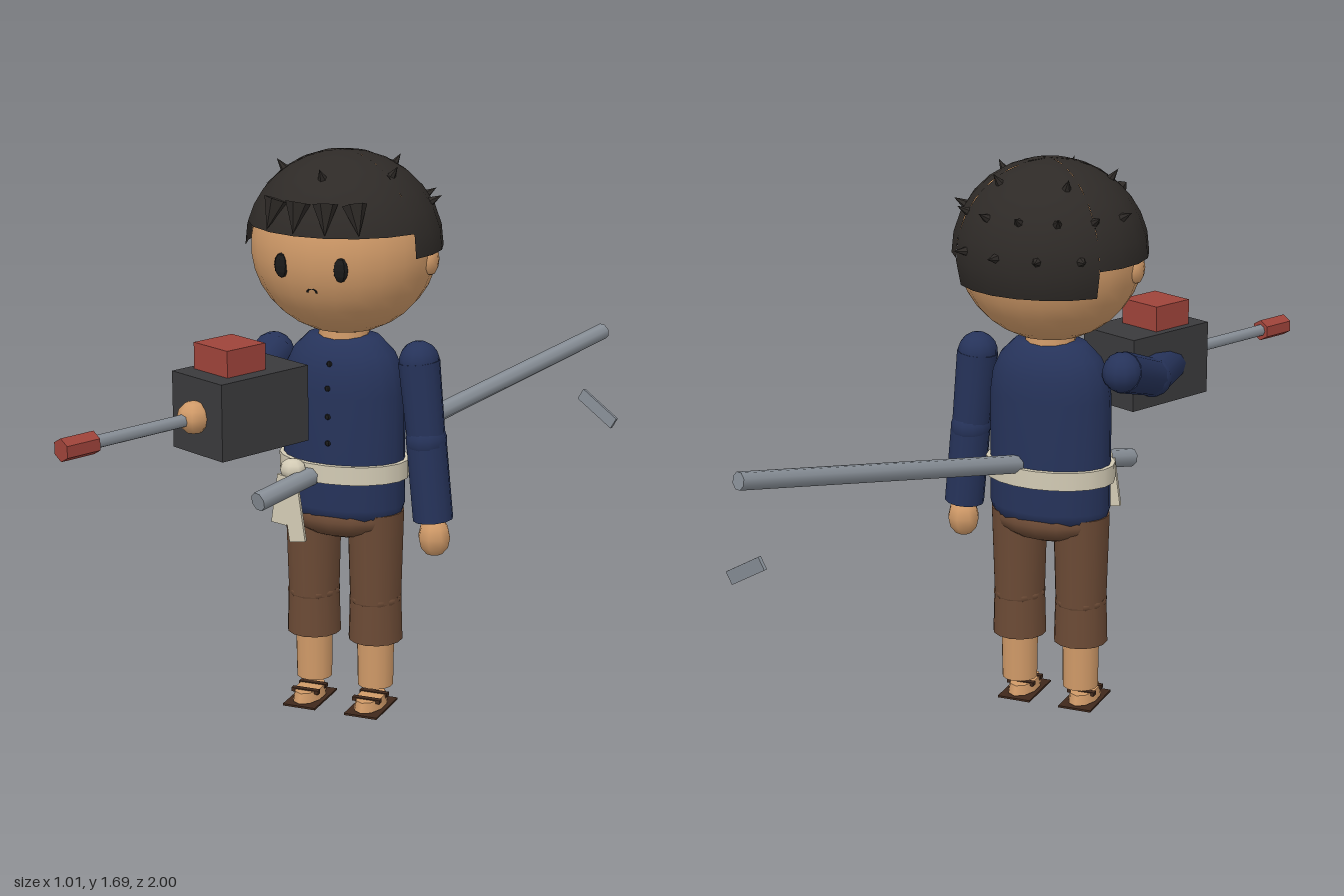
import * as THREE from 'three';

const V = (x, y, z) => new THREE.Vector3(x, y, z);
const mat = (color, flatShading = false) =>
  new THREE.MeshStandardMaterial({ color, flatShading, side: THREE.DoubleSide });

export function createModel() {
  const model = new THREE.Group();
  const skin = mat(0xd09a68), hairMat = mat(0x2e2a27, true), navy = mat(0x26335a);
  const brown = mat(0x6b4a35), cream = mat(0xd2cab4), steel = mat(0x878e96);
  const red = mat(0x9e433a, true), dark = mat(0x3a3a3c, true), sole = mat(0x3f281b), black = mat(0x1a1a1a, true);
  const CX = -0.047, CZ = 0.045;

  const add = (name, geo, material, pos = [0, 0, 0], scale = [1, 1, 1], parent = model) => {
    const m = new THREE.Mesh(geo, material);
    m.name = name;
    m.position.set(...pos);
    m.scale.set(...scale);
    parent.add(m);
    return m;
  };
  const ball = (name, material, pos, size, seg = 12) =>
    add(name, new THREE.SphereGeometry(1, seg, Math.ceil(seg * 0.7)), material, pos, size);
  // round bar between two points
  const bar = (name, a, b, ra, rb, material, sides = 12) => {
    const dir = b.clone().sub(a);
    const m = add(name, new THREE.CylinderGeometry(rb, ra, dir.length(), sides), material,
      a.clone().add(b).multiplyScalar(0.5).toArray());
    m.quaternion.setFromUnitVectors(V(0, 1, 0), dir.normalize());
    return m;
  };

  // Head and face
  const HY = 1.415;
  ball('head', skin, [CX, HY, 0.04], [0.275, 0.262, 0.26], 24);
  for (const s of [-1, 1]) {
    ball('ear', skin, [CX + s * 0.268, 1.385, 0.04], [0.022, 0.044, 0.038], 8);
    ball('eye', black, [CX - 0.003 + s * 0.09, 1.39, 0.281], [0.023, 0.036, 0.015], 8);
  }
  add('mouth', new THREE.TorusGeometry(0.014, 0.003, 5, 8, Math.PI), black, [CX, 1.318, 0.282], [1, 0.8, 1]);
  add('neck', new THREE.CylinderGeometry(0.07, 0.08, 0.1, 12), skin, [CX, 1.15, CZ]);

  // Hair: fringe, sides and nape are strips of one cap, each cut at its own height
  const hairR = [0.29, 0.274, 0.272];
  for (const [name, from, to, bottom] of [['hairFront', 0.42, 2.72, 1.48], ['hairSide', 2.72, 3.84, 1.41],
    ['hairBack', 3.84, 5.58, 1.33], ['hairSide', 5.58, 6.703, 1.41]]) {
    const theta = Math.acos((bottom - HY) / hairR[1]);
    add(name, new THREE.SphereGeometry(1, Math.round((to - from) * 3.2), 7, from, to - from, 0, theta),
      mat(0x2e2a27), [CX, HY, 0.04], hairR);
  }
  // Spikes by bearing (from +x towards +z) and elevation
  const spike = (bearing, elevation) => {
    const d = V(Math.cos(elevation) * Math.cos(bearing), Math.sin(elevation), Math.cos(elevation) * Math.sin(bearing));
    const p = d.clone().multiply(V(...hairR)).multiplyScalar(1.03);
    const m = add('hairSpike', new THREE.ConeGeometry(0.018, 0.05, 6), hairMat, [CX + p.x, HY + p.y, 0.04 + p.z]);
    m.quaternion.setFromUnitVectors(V(0, 1, 0), d);
  };
  for (let i = 0; i < 5; i++) spike(Math.PI / 2 + i * Math.PI * 0.4, 0.92);
  for (let i = 0; i < 7; i++) spike(Math.PI + 0.25 + i * (Math.PI - 0.5) / 6, 0.5);
  for (let i = 0; i < 4; i++) spike(Math.PI * 1.5 + (i - 1.5) * 0.45, 0.1);
  // Fringe tufts
  for (let i = 0; i < 4; i++) {
    const a = (i - 1.5) * 0.33;
    const m = add('fringeTuft', new THREE.ConeGeometry(0.036, 0.09, 6), hairMat,
      [CX + 0.26 * Math.sin(a) * 1.05, 1.53, 0.04 + 0.255 * Math.cos(a)]);
    m.rotation.set(Math.PI - 0.25, 0, -a * 0.5);
  }

  // Jacket
  const profile = [[0, 0.6], [0.175, 0.6], [0.187, 0.64], [0.187, 0.98], [0.178, 1.05], [0.155, 1.1], [0.11, 1.145], [0, 1.16]];
  add('jacket', new THREE.LatheGeometry(profile.map(p => new THREE.Vector2(...p)), 20), navy, [CX, 0, CZ], [1, 1, 0.68]);
  for (const y of [1.08, 1.01, 0.925, 0.845]) ball('button', black, [CX, y, CZ + (y > 1.05 ? 0.112 : 0.127)], [0.009, 0.009, 0.006], 6);

  // Sash with knot and hanging tails
  add('sash', new THREE.CylinderGeometry(0.2, 0.2, 0.055, 20), cream, [CX, 0.753, CZ], [1, 1, 0.71]);
  ball('sashKnot', cream, [-0.15, 0.76, 0.19], [0.042, 0.033, 0.035], 8);
  for (const [x, y, tilt, len] of [[-0.175, 0.67, -0.14, 0.15], [-0.14, 0.64, 0.14, 0.19]]) {
    const t = add('sashTail', new THREE.BoxGeometry(0.05, len, 0.012), cream, [x, y, 0.21]);
    t.rotation.z = tilt;
  }

  // Arms: shoulder, elbow, wrist
  const arm = (side, a, b, c) => {
    ball(side + 'Shoulder', navy, a.toArray(), [0.06, 0.06, 0.062]);
    bar(side + 'UpperArm', a, b, 0.062, 0.057, navy);
    ball(side + 'Elbow', navy, b.toArray(), [0.061, 0.06, 0.064]);
    bar(side + 'Forearm', b, c, 0.06, 0.06, navy);
  };
  arm('left', V(0.188, 1.085, CZ), V(0.212, 0.85, CZ), V(0.235, 0.61, CZ));
  ball('leftHand', skin, [0.24, 0.557, CZ + 0.003], [0.05, 0.06, 0.048], 8);
  arm('right', V(-0.272, 1.07, CZ), V(-0.288, 1.0, 0.26), V(-0.27, 1.0, 0.5));

  // Legs, built once per side
  ball('hips', brown, [CX, 0.6, CZ], [0.175, 0.07, 0.128], 16);
  for (const s of [-1, 1]) {
    const x = CX + s * 0.1;
    const side = s > 0 ? 'left' : 'right';
    add(side + 'Thigh', new THREE.CylinderGeometry(0.085, 0.077, 0.28, 14), brown, [x, 0.48, CZ], [1, 1, 1.06]);
    ball(side + 'Knee', brown, [x, 0.345, CZ], [0.08, 0.035, 0.083], 12);
    add(side + 'TrouserCuff', new THREE.CylinderGeometry(0.078, 0.082, 0.14, 14), brown, [x, 0.284, CZ]);
    add(side + 'Shin', new THREE.CylinderGeometry(0.057, 0.054, 0.18, 14), skin, [x, 0.155, CZ]);
    add(side + 'Foot', new THREE.CylinderGeometry(0.04, 0.045, 0.03, 10), skin, [x, 0.025, 0.083], [1, 1, 1.8]);
    add(side + 'Sole', new THREE.BoxGeometry(0.105, 0.006, 0.175), sole, [x, 0.003, 0.082]);
    for (const z of [0.055, 0.115])
      add(side + 'Strap', new THREE.BoxGeometry(0.088, 0.012, 0.018), sole, [x, 0.037, z]);
  }

  // Long scabbard thrust through the sash, with a loose plate near its tip
  bar('scabbard', V(-0.187, 0.705, 0.36), V(0.437, 0.963, -0.98), 0.029, 0.026, steel, 8);
  const plate = add('loosePlate', new THREE.BoxGeometry(0.155, 0.04, 0.01), steel, [0.43, 0.705, -0.967]);
  plate.quaternion.setFromUnitVectors(V(1, 0, 0), V(0.125, -0.075, 0.045).normalize());

  // Arm-mounted device, turned outward; local +z points along the barrel
  const device = new THREE.Group();
  device.name = 'armDevice';
  device.position.set(-0.21, 1.005, 0.417);
  device.rotation.y = -0.433;
  model.add(device);
  add('deviceBody', new THREE.BoxGeometry(0.215, 0.222, 0.32), dark, [0, 0, 0], [1, 1, 1], device);
  add('deviceBlock', new THREE.BoxGeometry(0.145, 0.08, 0.14), red, [-0.01, 0.148, 0.03], [1, 1, 1], device);
  add('rightHand', new THREE.SphereGeometry(0.048, 8, 6), skin, [0, 0, 0.172], [1, 1, 1], device);
  const barrel = add('barrel', new THREE.CylinderGeometry(0.019, 0.019, 0.38, 8), steel, [0, -0.003, 0.37], [1, 1, 1], device);
  const tip = add('barrelTip', new THREE.CylinderGeometry(0.033, 0.033, 0.11, 6), red, [0, -0.003, 0.575], [1, 1, 1], device);
  barrel.rotation.x = tip.rotation.x = Math.PI / 2;

  return model;
}
